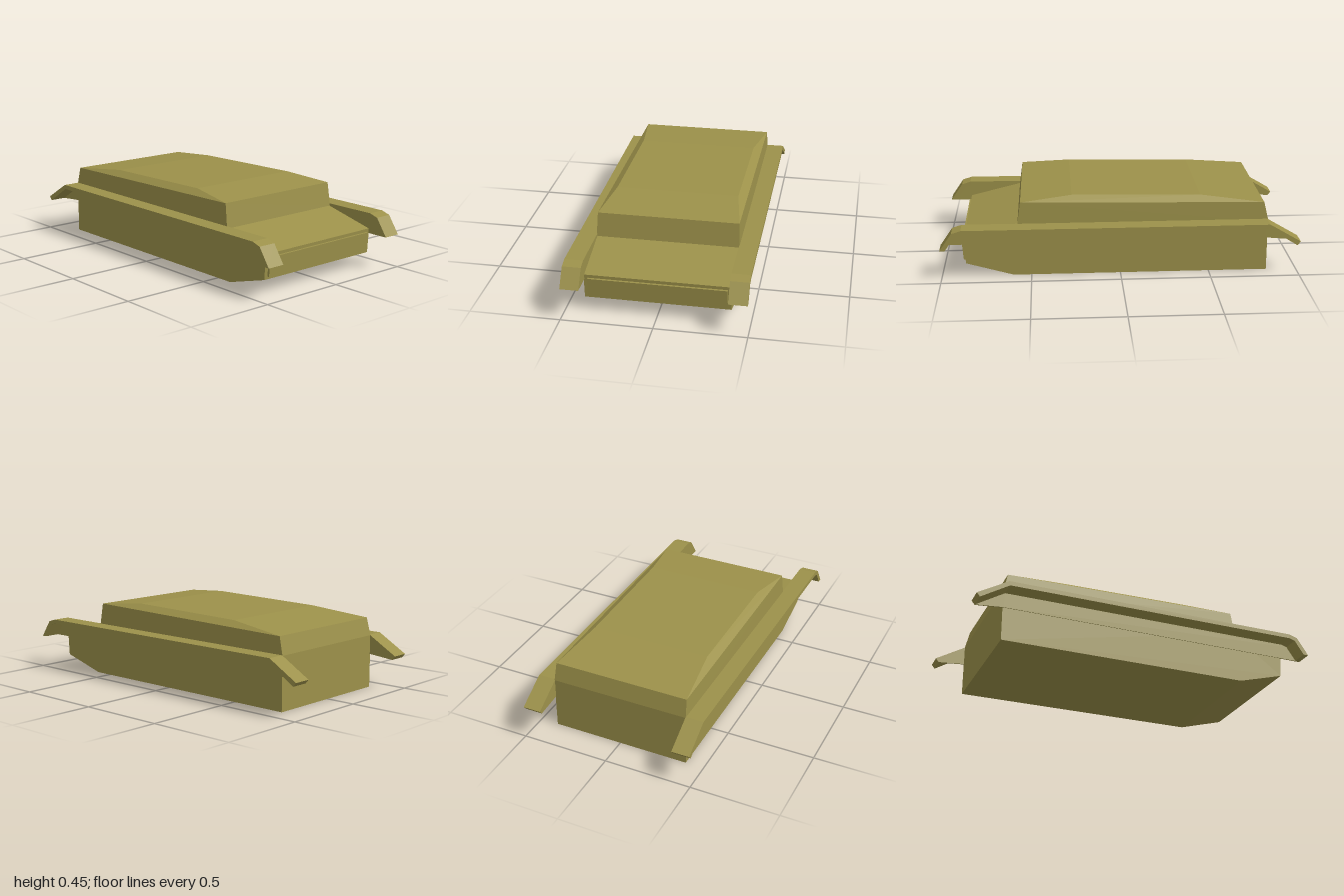
import * as THREE from 'three';
import { ConvexGeometry } from 'three/addons/geometries/ConvexGeometry.js';

const material = new THREE.MeshStandardMaterial({ color: 0x9c914a, flatShading: true });

// Extrudes a side profile of [z, y] points across the width from x0 to x1.
function extrudeAcross(name, profile, x0, x1) {
  const shape = new THREE.Shape(profile.map(([z, y]) => new THREE.Vector2(z, y)));
  const geometry = new THREE.ExtrudeGeometry(shape, { depth: x1 - x0, bevelEnabled: false });
  geometry.rotateY(-Math.PI / 2).translate(x1, 0, 0);
  const mesh = new THREE.Mesh(geometry, material);
  mesh.name = name;
  return mesh;
}

export function createModel() {
  const model = new THREE.Group();
  model.name = 'hull';

  // Lower hull with raked nose and sloping glacis
  model.add(extrudeAcross('lowerHull', [
    [-0.83, 0], [0.6, 0], [0.865, 0.075], [0.874, 0.215], [0.57, 0.29], [-0.83, 0.29],
  ], -0.396, 0.396));

  // Raised plate on the nose
  model.add(extrudeAcross('nosePlate', [
    [0.86, 0.09], [0.878, 0.09], [0.886, 0.197], [0.86, 0.197],
  ], -0.375, 0.375));

  // Upper casemate: four pairs of roof corners above two pairs of base corners
  const corners = [
    [0.396, 0.29, 0.574], [0.396, 0.29, -0.83], [0.395, 0.3, -0.83],
    [0.39, 0.425, 0.555], [0.345, 0.45, 0.27],
    [0.345, 0.437, -0.45], [0.39, 0.4, -0.806],
  ];
  const points = corners.flatMap(([x, y, z]) => [
    new THREE.Vector3(x, y, z), new THREE.Vector3(-x, y, z),
  ]);
  const casemate = new THREE.Mesh(new ConvexGeometry(points), material);
  casemate.name = 'casemate';
  model.add(casemate);

  // Bent fender sheets and the thin skirts that fill their inner side
  const fenderTop = [[1, 0.188], [0.932, 0.287], [0.88, 0.303], [-0.825, 0.303], [-1, 0.2]];
  const fenderUnder = [[-0.982, 0.178], [-0.82, 0.278], [0.88, 0.278], [0.915, 0.268], [0.97, 0.188]];
  const skirt = [
    [0.97, 0.188], [0.915, 0.268], [0.88, 0.279], [-0.82, 0.279],
    [-0.982, 0.178], [-0.825, 0.192],
  ];
  for (const side of [1, -1]) {
    const span = (a, b) => (side > 0 ? [a, b] : [-b, -a]);
    const label = side > 0 ? 'left' : 'right';
    model.add(extrudeAcross(label + 'Fender', [...fenderTop, ...fenderUnder], ...span(0.393, 0.495)));
    model.add(extrudeAcross(label + 'FenderSkirt', skirt, ...span(0.393, 0.4)));
  }
  return model;
}
